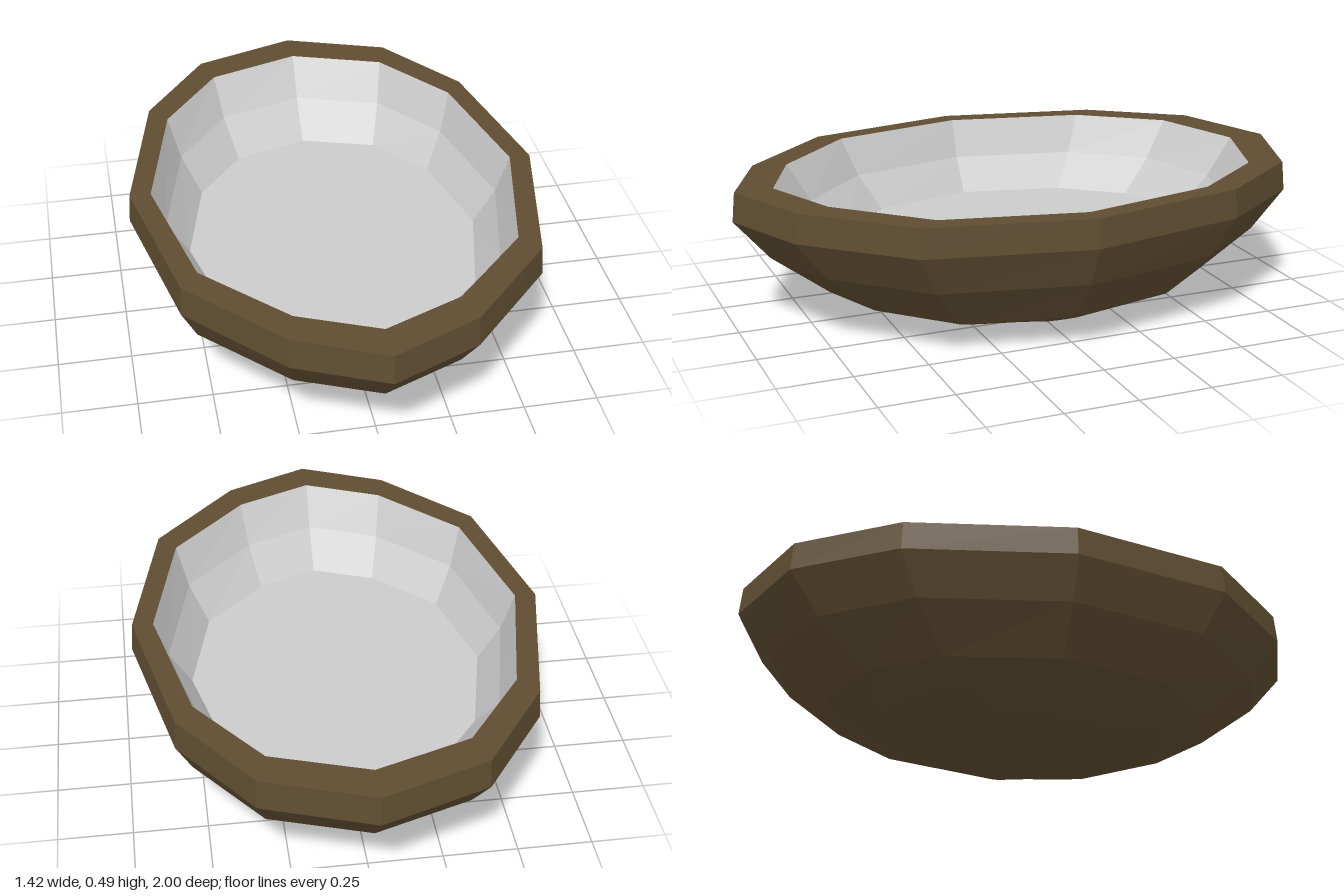
import * as THREE from 'three';

// Unit outline of the bowl seen from above (right half, back to front), mirrored to a 12-sided loop
const half = [[0, -1], [0.51, -0.873], [0.835, -0.553], [1, 0], [0.835, 0.55], [0.42, 0.868], [0, 1]];
const outline = [...half, ...half.slice(1, -1).reverse().map(([x, z]) => [-x, z])];

// Skins a list of rings [half width, half depth, y]; a ring of zero size closes the surface
function loft(name, rings, material) {
  const positions = [];
  const point = ([w, d, y], i) => {
    const [x, z] = outline[i % outline.length];
    return [x * w, y, z * d];
  };
  for (let r = 0; r < rings.length - 1; r++) {
    const lower = rings[r], upper = rings[r + 1];
    for (let i = 0; i < outline.length; i++) {
      const a = point(lower, i), b = point(lower, i + 1);
      const c = point(upper, i + 1), d = point(upper, i);
      if (lower[0] > 0) positions.push(...b, ...a, ...d);
      if (upper[0] > 0) positions.push(...b, ...d, ...c);
    }
  }
  const geometry = new THREE.BufferGeometry();
  geometry.setAttribute('position', new THREE.Float32BufferAttribute(positions, 3));
  geometry.computeVertexNormals();
  const mesh = new THREE.Mesh(geometry, material);
  mesh.name = name;
  return mesh;
}

export function createModel() {
  const group = new THREE.Group();
  group.name = 'bowl';
  const wood = new THREE.MeshStandardMaterial({ color: 0x5f4d31, flatShading: true });
  const grey = new THREE.MeshStandardMaterial({ color: 0xcccccc, flatShading: true });

  // Outer shell, from the underside up to the flat rim
  group.add(loft('outerShell', [
    [0, 0, 0], [0.3, 0.25, 0], [0.42, 0.5, 0.05], [0.535, 0.68, 0.1], [0.645, 0.88, 0.25],
    [0.708, 1, 0.39], [0.702, 0.99, 0.49], [0.63, 0.86, 0.49],
  ], wood));

  // Inner wall, from the rim down to the floor
  group.add(loft('innerWall', [
    [0.63, 0.86, 0.49], [0.585, 0.77, 0.355], [0.51, 0.645, 0.235],
  ], grey));

  // Flat floor
  group.add(loft('floor', [[0.51, 0.645, 0.235], [0, 0, 0.235]], grey));
  return group;
}
